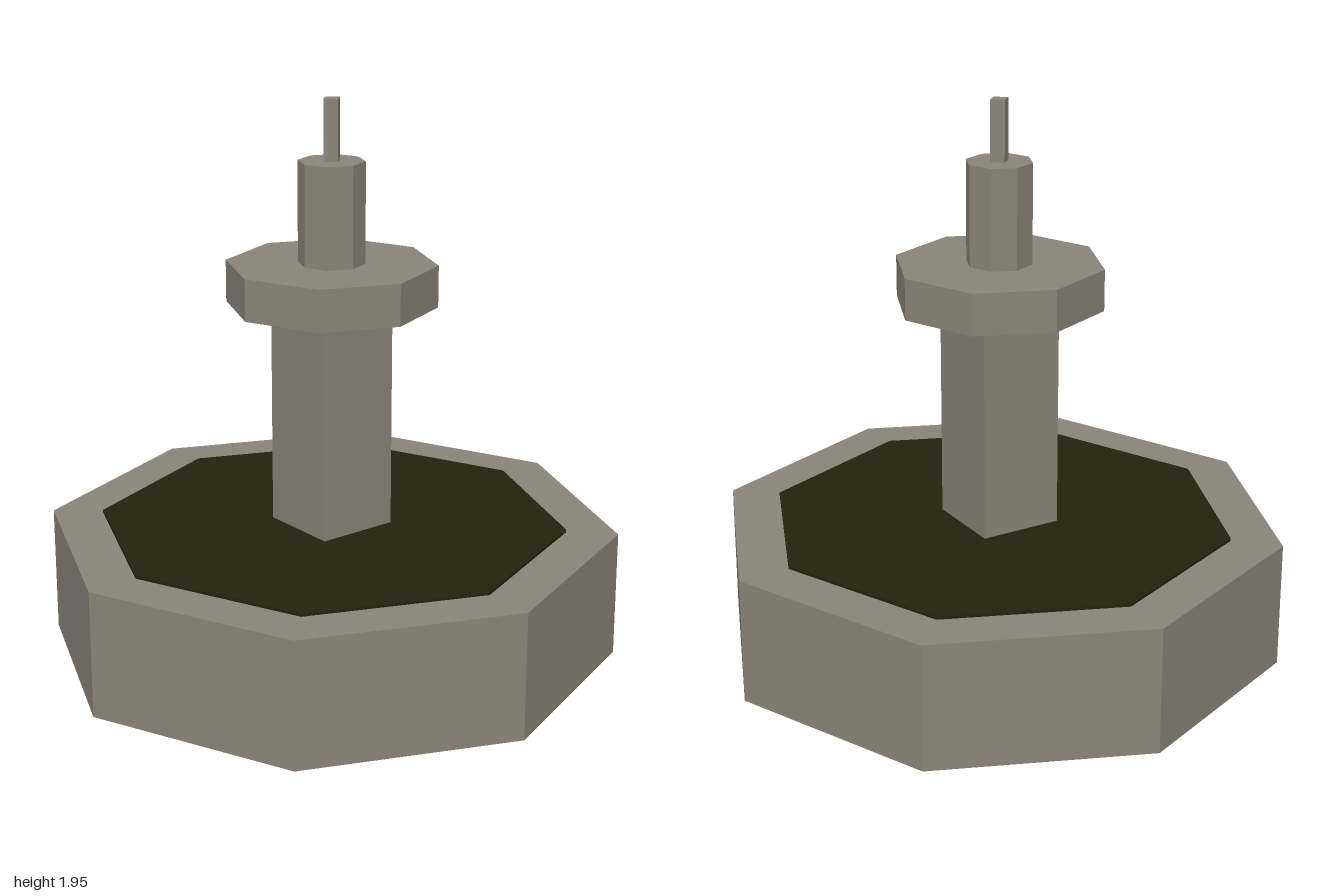
import * as THREE from 'three';
import { mergeGeometries } from 'three/addons/utils/BufferGeometryUtils.js';

// Upright prism with a closed top and an open underside; corners lie on the axes
function openPrism(radius, sides, bottom, top) {
  const wall = new THREE.CylinderGeometry(radius, radius, top - bottom, sides, 1, true);
  wall.translate(0, (top + bottom) / 2, 0);
  const cap = new THREE.CircleGeometry(radius, sides);
  cap.rotateX(-Math.PI / 2);
  cap.translate(0, top, 0);
  return mergeGeometries([wall, cap]);
}

export function createModel() {
  const stone = new THREE.MeshStandardMaterial({ color: 0x8a8378, flatShading: true, side: THREE.DoubleSide });
  stone.name = 'stone';
  const water = new THREE.MeshStandardMaterial({ color: 0x24210e, flatShading: true, side: THREE.DoubleSide });
  water.name = 'dark water';

  const model = new THREE.Group();
  model.name = 'fountain';

  // name, material, radius, sides, bottom, top, turn
  const parts = [
    ['basin', stone, 1, 8, 0, 0.445, 0],
    ['waterSurface', water, 0.82, 8, 0.395, 0.455, 0],
    ['column', stone, 0.208, 4, 0.45, 1.38, Math.PI / 4],
    ['upperBowl', stone, 0.363, 8, 1.24, 1.385, 0],
    ['upperPost', stone, 0.115, 8, 1.385, 1.735, 0],
    ['spout', stone, 0.035, 4, 1.735, 1.945, 0],
  ];
  for (const [name, material, radius, sides, bottom, top, turn] of parts) {
    const mesh = new THREE.Mesh(openPrism(radius, sides, bottom, top), material);
    mesh.name = name;
    mesh.rotation.y = turn;
    model.add(mesh);
  }
  return model;
}
